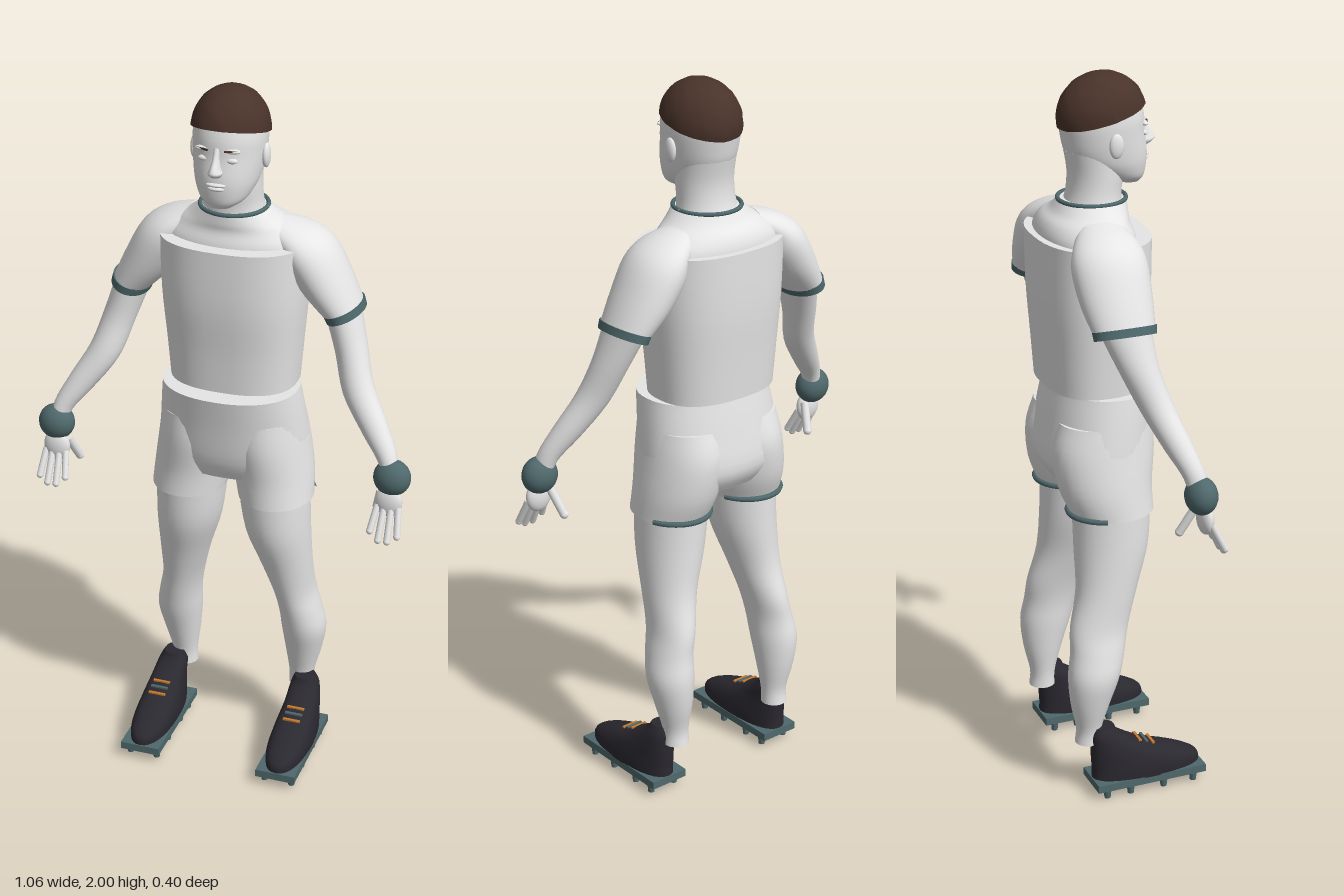
import * as THREE from 'three';

const mat = (name, color) => {
  const m = new THREE.MeshStandardMaterial({ color });
  m.name = name;
  return m;
};

// Smoothly resample rows of numbers (Catmull-Rom on every column)
function resample(rows, steps) {
  const out = [], at = i => rows[Math.max(0, Math.min(rows.length - 1, i))];
  for (let i = 0; i < rows.length - 1; i++) {
    for (let k = 0; k < steps; k++) {
      const t = k / steps;
      out.push(rows[i].map((b, c) => {
        const a = at(i - 1)[c], d = at(i + 1)[c], e = at(i + 2)[c];
        return b + 0.5 * t * (d - a + t * (2 * a - 5 * b + 4 * d - e + t * (3 * (b - d) + e - a)));
      }));
    }
  }
  out.push(rows[rows.length - 1]);
  return out;
}

// Skin a capped surface over rising sections [x, y, z, rx, rz, tilt]; s mirrors in x, p squares the section
function loft(sections, { s = 1, p = 2, steps = 4, n = 32 } = {}) {
  const rows = resample(sections.map(r => [...r, 0].slice(0, 6)), steps);
  const pos = [], idx = [];
  const ring = r => {
    for (let j = 0; j < n; j++) {
      const a = j / n * Math.PI * 2, c = Math.cos(a), q = Math.sin(a);
      const u = Math.sign(c) * Math.abs(c) ** (2 / p) * r[3];
      const v = Math.sign(q) * Math.abs(q) ** (2 / p) * r[4];
      pos.push(r[0] * s + u * Math.cos(r[5]), r[1] + u * Math.sin(r[5] * s), r[2] + v);
    }
  };
  rows.forEach(ring);
  for (let i = 0; i < rows.length - 1; i++) {
    for (let j = 0; j < n; j++) {
      const a = i * n + j, b = i * n + (j + 1) % n;
      idx.push(a, a + n, b, b, a + n, b + n);
    }
  }
  [rows[0], rows[rows.length - 1]].forEach((r, top) => {
    const base = pos.length / 3;
    ring(r);
    pos.push(r[0] * s, r[1], r[2]);
    for (let j = 0; j < n; j++) {
      const a = base + j, b = base + (j + 1) % n;
      top ? idx.push(base + n, b, a) : idx.push(base + n, a, b);
    }
  });
  const g = new THREE.BufferGeometry();
  g.setAttribute('position', new THREE.Float32BufferAttribute(pos, 3));
  g.setIndex(idx);
  g.computeVertexNormals();
  return g;
}

// Thin cord along part of a horizontal ellipse
function cord(x, y, z, rx, rz, from, to, r) {
  const pts = [];
  for (let i = 0; i <= 24; i++) {
    const a = from + (to - from) * i / 24;
    pts.push(new THREE.Vector3(x + rx * Math.cos(a), y, z + rz * Math.sin(a)));
  }
  return new THREE.TubeGeometry(new THREE.CatmullRomCurve3(pts), 48, r, 8);
}

const ball = (x, y, z, rx, ry, rz) =>
  new THREE.SphereGeometry(1, 24, 16).scale(rx, ry, rz).translate(x, y, z);

export function createModel() {
  const model = new THREE.Group();
  const pale = mat('paleGrey', 0xe6e6e6), teal = mat('slateTeal', 0x4f696c);
  const dark = mat('shoeBlack', 0x2b2930), brown = mat('hairBrown', 0x49332a);
  const orange = mat('laceOrange', 0xc87a2c);
  const add = (name, geo, m, parent = model) => {
    const mesh = new THREE.Mesh(geo, m);
    mesh.name = name;
    parent.add(mesh);
    return mesh;
  };

  // Torso
  add('shirtBody', loft([[0, 1.165, -0.05, 0.175, 0.13], [0, 1.28, -0.05, 0.184, 0.138],
    [0, 1.42, -0.048, 0.195, 0.15], [0, 1.58, -0.048, 0.2, 0.152]], { p: 2.5, n: 48 }), pale);
  add('shirtYoke', loft([[0, 1.48, -0.055, 0.2, 0.12], [0, 1.57, -0.058, 0.205, 0.125],
    [0, 1.615, -0.058, 0.165, 0.112], [0, 1.64, -0.045, 0.125, 0.1],
    [0, 1.668, -0.036, 0.092, 0.09]], { n: 48 }), pale);
  add('collar', cord(0, 1.668, -0.036, 0.09, 0.09, 0, Math.PI * 2, 0.006), teal);

  // Shorts
  add('shortsSeat', loft([[0, 0.9, -0.045, 0.18, 0.115], [0, 0.96, -0.048, 0.208, 0.143],
    [0, 1.07, -0.032, 0.2, 0.145], [0, 1.16, -0.015, 0.188, 0.145]], { p: 2.2, n: 48 }), pale);

  // Neck and head
  add('neck', loft([[0, 1.62, -0.04, 0.095, 0.085], [0, 1.68, -0.032, 0.081, 0.073],
    [0, 1.74, -0.025, 0.079, 0.075], [0, 1.8, -0.03, 0.08, 0.08]]), pale);
  add('head', loft([[0, 1.703, 0.068, 0.03, 0.028], [0, 1.722, 0.046, 0.06, 0.06],
    [0, 1.755, 0.02, 0.079, 0.092], [0, 1.79, 0.004, 0.088, 0.109], [0, 1.84, -0.006, 0.094, 0.112],
    [0, 1.89, -0.01, 0.095, 0.113], [0, 1.94, -0.01, 0.083, 0.096], [0, 1.975, -0.008, 0.045, 0.055]],
    { p: 2.1, n: 40 }), pale);
  add('nose', loft([[0, 1.797, 0.108, 0.014, 0.016], [0, 1.808, 0.113, 0.019, 0.027],
    [0, 1.82, 0.112, 0.014, 0.027], [0, 1.845, 0.104, 0.009, 0.017], [0, 1.872, 0.098, 0.009, 0.008]],
    { n: 16 }), pale);
  add('upperLip', ball(0, 1.774, 0.109, 0.027, 0.006, 0.012), pale);
  add('lowerLip', ball(0, 1.763, 0.107, 0.023, 0.007, 0.012), pale);
  add('chin', ball(0, 1.72, 0.08, 0.027, 0.016, 0.024), pale);

  // Cropped hair with a lumpy surface, hairline higher in front
  const hairGeo = new THREE.SphereGeometry(1, 40, 16, 0, Math.PI * 2, 0, Math.PI / 2);
  const hp = hairGeo.attributes.position;
  for (let i = 0; i < hp.count; i++) {
    const x = hp.getX(i), y = hp.getY(i), z = hp.getZ(i);
    const k = 1 + 0.012 * Math.sin(11 * x) * Math.sin(13 * z + 2) * Math.sin(9 * y + 1);
    hp.setXYZ(i, x * k * 0.102, y * k * 0.112, z * k * 0.12);
  }
  hairGeo.computeVertexNormals();
  const hair = add('hair', hairGeo, brown);
  hair.position.set(0, 1.888, -0.009);
  hair.rotation.x = -0.25;

  for (const s of [1, -1]) {
    const side = new THREE.Group();
    side.name = s > 0 ? 'leftSide' : 'rightSide';
    model.add(side);
    const put = (name, geo, m) => add(name, geo, m, side);

    // Face details
    put('ear', ball(s * 0.097, 1.825, -0.005, 0.011, 0.033, 0.02), pale);
    put('eye', ball(s * 0.036, 1.838, 0.094, 0.017, 0.008, 0.009), pale);
    put('browRidge', ball(s * 0.037, 1.864, 0.093, 0.024, 0.007, 0.011), pale);
    const brow = put('eyebrow', new THREE.BoxGeometry(0.034, 0.004, 0.004), brown);
    brow.position.set(s * 0.038, 1.866, 0.103);
    brow.rotation.y = s * 0.38;

    // Sleeve, cuff and bare arm
    put('sleeve', loft([[0.298, 1.395, -0.065, 0.051, 0.083, 0.35], [0.25, 1.465, -0.068, 0.066, 0.097, 0.42],
      [0.203, 1.54, -0.068, 0.07, 0.102, 0.55], [0.165, 1.583, -0.065, 0.05, 0.09, 0.8],
      [0.11, 1.615, -0.06, 0.03, 0.06, 0.9]], { s }), pale);
    put('sleeveCuff', loft([[0.303, 1.384, -0.065, 0.053, 0.085, 0.35],
      [0.295, 1.405, -0.065, 0.055, 0.087, 0.35]], { s, steps: 1 }), teal);
    put('arm', loft([[0.478, 0.97, 0.076, 0.025, 0.028, 0.4], [0.463, 1.04, 0.062, 0.027, 0.03, 0.45],
      [0.418, 1.11, 0.035, 0.036, 0.038, 0.5], [0.36, 1.2, 0, 0.043, 0.045, 0.4],
      [0.327, 1.3, -0.037, 0.044, 0.053, 0.35], [0.295, 1.4, -0.062, 0.047, 0.07, 0.35]], { s }), pale);

    // Wristband and hand
    put('wristband', ball(s * 0.48, 0.992, 0.073, 0.051, 0.051, 0.043), teal);
    put('palm', ball(s * 0.476, 0.925, 0.087, 0.038, 0.045, 0.02), pale);
    const digit = (name, a, b, r) => put(name, new THREE.TubeGeometry(new THREE.CatmullRomCurve3(
      [a, b].map(q => new THREE.Vector3(q[0] * s, q[1], q[2]))), 4, r, 10), pale) &&
      put(name + 'Tip', ball(b[0] * s, b[1], b[2], r, r, r), pale);
    [0.85, 0.83, 0.83, 0.845].forEach((tip, i) => digit('finger',
      [0.448 + i * 0.019, 0.915, 0.093], [0.438 + i * 0.025, tip, 0.14 - Math.abs(i - 1.5) * 0.008], 0.0095));
    digit('thumb', [0.45, 0.945, 0.07], [0.431, 0.875, 0.035], 0.012);

    // Shorts leg with a cord along the rear hem
    put('shortsLeg', loft([[0.125, 0.826, -0.03, 0.104, 0.115], [0.114, 0.9, -0.045, 0.109, 0.13],
      [0.1, 1.0, -0.045, 0.108, 0.142], [0.095, 1.08, -0.035, 0.1, 0.13]], { s }), pale);
    put('rearHem', cord(s * 0.125, 0.829, -0.036, 0.1, 0.115, Math.PI * 1.12, Math.PI * 1.88, 0.008), teal);

    // Leg
    put('leg', loft([[0.18, 0.155, -0.122, 0.037, 0.037], [0.18, 0.2, -0.12, 0.037, 0.036],
      [0.185, 0.28, -0.117, 0.052, 0.056], [0.188, 0.36, -0.107, 0.063, 0.073],
      [0.18, 0.43, -0.094, 0.059, 0.077], [0.166, 0.5, -0.083, 0.058, 0.083],
      [0.15, 0.6, -0.056, 0.071, 0.086], [0.13, 0.72, -0.035, 0.09, 0.103],
      [0.12, 0.84, -0.03, 0.098, 0.108]], { s }), pale);

    // Shoe
    put('shoe', loft([[0.205, 0.046, 0.04, 0.057, 0.16], [0.205, 0.075, 0.037, 0.058, 0.156],
      [0.205, 0.105, 0.008, 0.054, 0.129], [0.205, 0.14, -0.042, 0.047, 0.08],
      [0.202, 0.18, -0.08, 0.04, 0.043], [0.2, 0.205, -0.085, 0.028, 0.03]], { s, p: 2.3 }), dark);
    put('sole', new THREE.BoxGeometry(0.115, 0.022, 0.325).translate(s * 0.204, 0.038, 0.04), teal);
    for (const z of [-0.09, -0.02, 0.08, 0.17]) {
      for (const x of [-0.04, 0.04]) {
        put('cleat', new THREE.CylinderGeometry(0.012, 0.009, 0.03, 10)
          .translate(s * 0.204 + x, 0.015, z), teal);
      }
    }
    [[0.015, 0.15, orange], [0.035, 0.143, teal], [0.055, 0.134, orange]].forEach(([z, y, m]) =>
      put('lace', new THREE.BoxGeometry(0.05, 0.005, 0.008).translate(s * 0.205, y, z), m));
  }
  return model;
}
